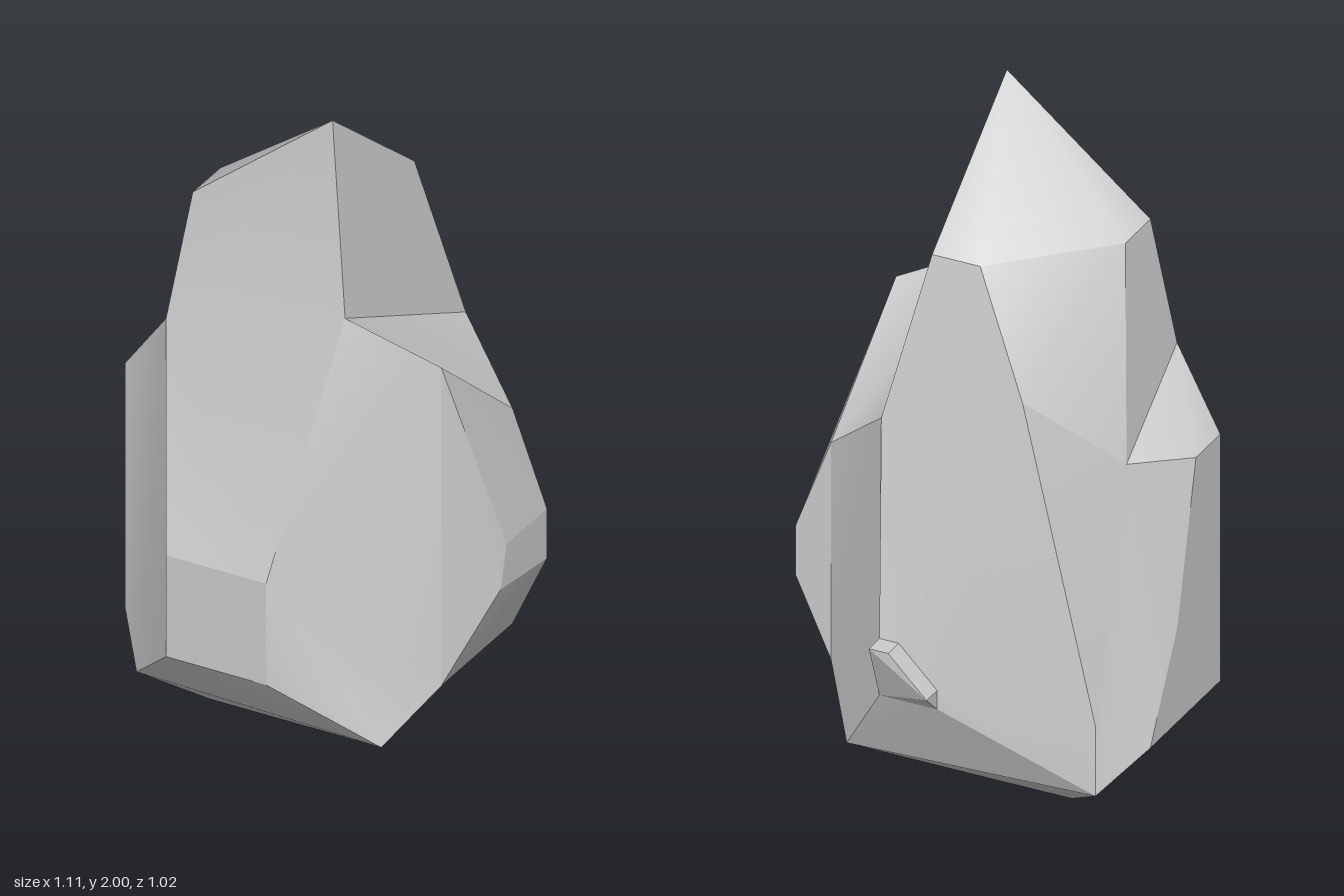
import * as THREE from 'three';
import { ConvexGeometry } from 'three/addons/geometries/ConvexGeometry.js';

const V = (x, y, z) => new THREE.Vector3(x, y, z);

// Corners of the cut stone, grouped by region
const peak = V(0.12, 2, 0.26);
const crownFront = V(-0.33, 1.64, 0.255), crownSide = V(-0.33, 1.64, 0.1);
const crownBack = V(-0.03, 1.64, -0.2), crownEnd = V(0.12, 1.64, -0.2);

const shoulderL = V(0.18, 1.4, 0.295), shoulderR = V(-0.39, 1.24, 0.3);
const shoulderBack = V(0.23, 1.14, -0.295), spine = V(-0.22, 1.31, -0.315);

const frontTopR = V(-0.27, 0.62, 0.51), frontTopL = V(0.05, 0.62, 0.51);
const frontLowR = V(-0.27, 0.295, 0.51), frontLowL = V(0.05, 0.295, 0.51);

const leftTopF = V(0.445, 1.28, 0.22), leftTopB = V(0.445, 0.95, -0.18);
const leftLowF = V(0.445, 0.26, 0.22), leftLowB = V(0.445, 0.26, -0.18);
const bulgeTopF = V(0.555, 0.66, 0.045), bulgeTopB = V(0.555, 0.66, -0.18);
const bulgeLowF = V(0.555, 0.53, 0.08), bulgeLowB = V(0.555, 0.5, -0.18);

const notch = V(-0.425, 1.05, -0.08);
const rightTopF = V(-0.555, 1.02, 0.24), rightTopB = V(-0.555, 1.02, 0.09);
const rightMid = V(-0.555, 0.51, -0.03);
const rightLowF = V(-0.555, 0.235, 0.24), rightLowB = V(-0.555, 0.235, -0.19);
const rightBack = V(-0.45, 0.34, -0.32);

// Back corners where the nub grows out
const n1 = V(0.16, 0.53, -0.445), n2 = V(0.1, 0.53, -0.445), n3 = V(-0.02, 0.41, -0.445);
const n4 = V(-0.02, 0.35, -0.445), n5 = V(0.16, 0.35, -0.445);

// Rings of four at the foot: front left, back left, back right, front right
const skirt = [V(0.35, 0.12, 0.39), V(0.305, 0.12, -0.36), V(-0.45, 0.12, -0.32), V(-0.45, 0.12, 0.36)];
const foot = [V(0.08, 0, 0.21), V(0.08, 0, -0.17), V(-0.3, 0, -0.17), V(-0.3, 0, 0.21)];

// Each facet is a fan around its first corner
const facets = [
  // crown and front
  [peak, crownEnd, crownBack, crownSide, crownFront],
  [shoulderR, frontTopR, frontTopL, shoulderL, peak, crownFront],
  [frontTopR, frontLowR, frontLowL, frontTopL],
  [frontLowR, skirt[3], skirt[0], frontLowL],
  [frontTopL, frontLowL, skirt[0], leftLowF, leftTopF, shoulderL],
  // left side with its bulge
  [peak, shoulderL, shoulderBack, crownEnd],
  [shoulderL, leftTopF, leftTopB, shoulderBack],
  [leftTopF, bulgeTopF, bulgeTopB, leftTopB],
  [leftTopF, leftLowF, bulgeLowF, bulgeTopF],
  [bulgeTopF, bulgeLowF, bulgeLowB, bulgeTopB],
  [leftLowF, leftLowB, bulgeLowB, bulgeLowF],
  [leftTopB, bulgeTopB, bulgeLowB, leftLowB],
  [leftLowF, skirt[0], skirt[1], leftLowB],
  // back
  [shoulderBack, leftTopB, leftLowB, skirt[1], n5, n1],
  [n2, n1, shoulderBack, crownEnd, crownBack, spine],
  [n3, n2, spine, rightBack, skirt[2], n4],
  [n4, skirt[2], skirt[1], n5],
  // right side with the notch
  [spine, crownBack, crownSide, notch],
  [notch, rightTopB, rightMid, rightLowB, skirt[2], rightBack, spine],
  [shoulderR, crownFront, crownSide, notch],
  [shoulderR, notch, rightTopB, rightTopF],
  [rightTopF, rightTopB, rightMid, rightLowB, rightLowF],
  [shoulderR, rightTopF, rightLowF, skirt[3], frontLowR, frontTopR],
  [rightLowF, rightLowB, skirt[2], skirt[3]],
  // underside
  foot,
  ...foot.map((p, i) => [p, foot[(i + 1) % 4], skirt[(i + 1) % 4], skirt[i]]),
];

// Facets share no corners, so edges stay sharp while each facet is smooth inside
function facetGeometry(list) {
  const core = V(-0.05, 0.7, 0), positions = [], index = [];
  for (const pts of list) {
    const normal = V(0, 0, 0), mid = V(0, 0, 0);
    pts.forEach((p, i) => {
      normal.add(p.clone().cross(pts[(i + 1) % pts.length]));
      mid.addScaledVector(p, 1 / pts.length);
    });
    const outward = normal.dot(mid.sub(core)) > 0;
    const base = positions.length / 3;
    pts.forEach((p) => positions.push(p.x, p.y, p.z));
    for (let i = 1; i < pts.length - 1; i++) {
      index.push(base, base + (outward ? i : i + 1), base + (outward ? i + 1 : i));
    }
  }
  const g = new THREE.BufferGeometry();
  g.setAttribute('position', new THREE.Float32BufferAttribute(positions, 3));
  g.setIndex(index);
  g.computeVertexNormals();
  return g;
}

export function createModel() {
  const group = new THREE.Group();
  group.name = 'rock';
  const add = (name, geometry, flatShading) => {
    const mesh = new THREE.Mesh(geometry, new THREE.MeshStandardMaterial({ color: 0xcccccc, flatShading }));
    mesh.name = name;
    group.add(mesh);
  };

  add('stoneBody', facetGeometry(facets), false);

  // Small wedge on the back
  const tips = [n1, n2, n3].map((p) => V(p.x, p.y, -0.51));
  add('backNub', new ConvexGeometry([n1, n2, n3, n4, n5, ...tips]), true);
  return group;
}
